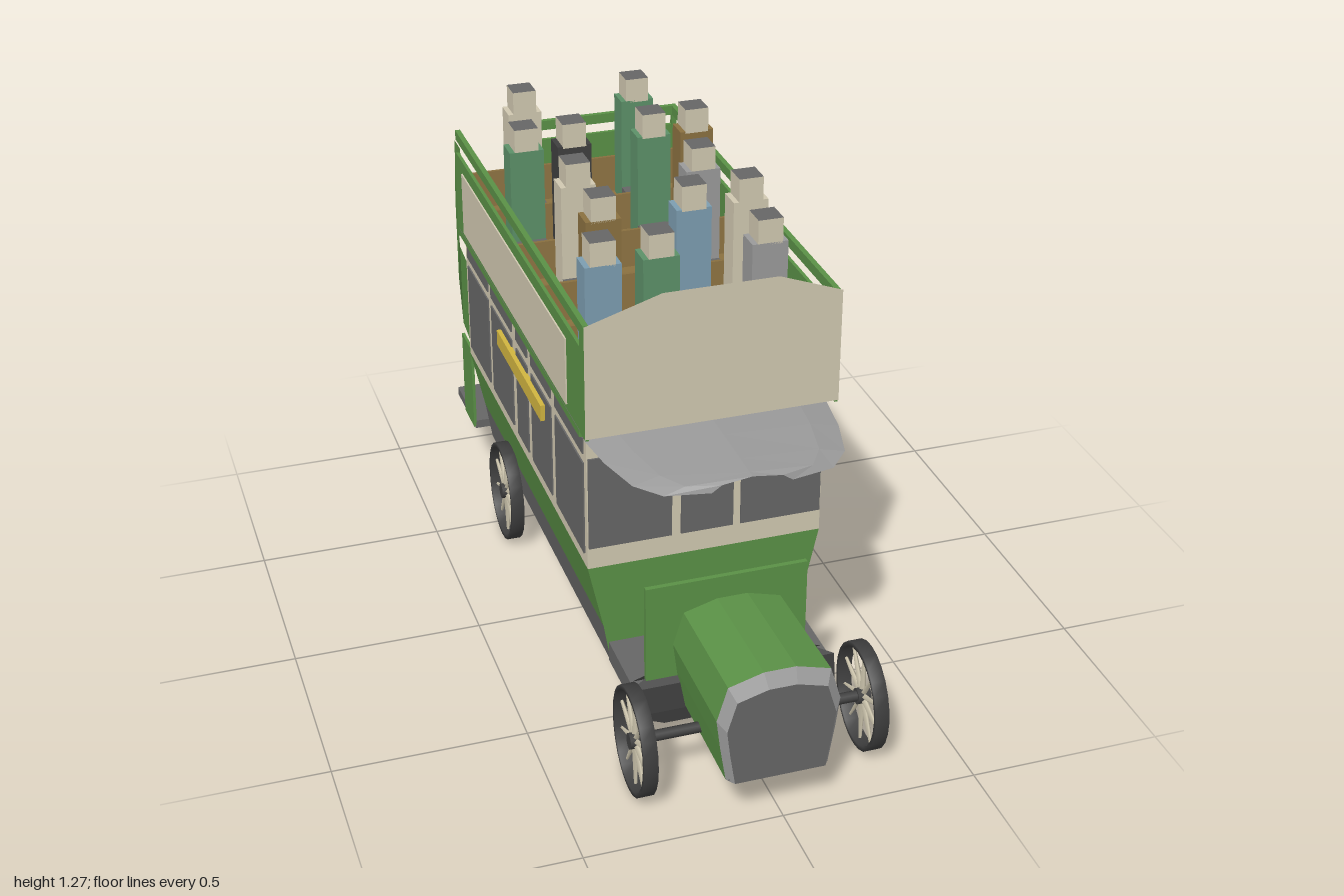
import * as THREE from 'three';

const paint = (name, color) => {
  const m = new THREE.MeshStandardMaterial({ color, side: THREE.DoubleSide });
  m.name = name;
  return m;
};

export function createModel() {
  const cream = paint('cream', 0xd0c8b0), green = paint('bus green', 0x5a9046), dark = paint('slate grey', 0x666666),
    light = paint('light grey', 0x9a9a9a), black = paint('tyre black', 0x3e3e3e), brown = paint('seat brown', 0x8a7040),
    yellow = paint('board yellow', 0xd0b440), red = paint('sign red', 0x98191e), blue = paint('coat blue', 0x7c9db0),
    sage = paint('coat green', 0x5c9068);

  const root = new THREE.Group();
  root.name = 'openTopBus';
  const bus = new THREE.Group();
  bus.name = 'bus';
  bus.position.x = -0.01;
  root.add(bus);

  const add = (name, geo, mat, parent = bus) => {
    const m = new THREE.Mesh(geo, mat);
    m.name = name;
    parent.add(m);
    return m;
  };
  // box given by its limits on each axis
  const box = (name, mat, [x0, x1], [y0, y1], [z0, z1], parent = bus) => {
    const m = add(name, new THREE.BoxGeometry(x1 - x0, y1 - y0, z1 - z0), mat, parent);
    m.position.set((x0 + x1) / 2, (y0 + y1) / 2, (z0 + z1) / 2);
    return m;
  };
  const faces = (name, mat, pos) => {
    const g = new THREE.BufferGeometry();
    g.setAttribute('position', new THREE.Float32BufferAttribute(pos.flat(), 3));
    g.computeVertexNormals();
    return add(name, g, mat);
  };
  // flat convex panel
  const panel = (name, mat, p) => {
    const out = [];
    for (let i = 1; i < p.length - 1; i++) out.push(p[0], p[i], p[i + 1]);
    return faces(name, mat, out);
  };
  // faceted skin between successive rows of points
  const sheet = (name, mat, rows) => {
    const out = [];
    for (let i = 0; i < rows.length - 1; i++)
      for (let j = 0; j < rows[i].length - 1; j++) {
        const a = rows[i][j], b = rows[i][j + 1], c = rows[i + 1][j + 1], d = rows[i + 1][j];
        out.push(a, b, c, a, c, d);
      }
    return faces(name, mat, out);
  };

  // Lower saloon: open-bottomed shell of sloping and upright bands
  const zF = 0.44, zB = -0.77;
  const bands = [['skirt', dark, 0.13, 0.25, 0.24, 0.268], ['lowerPanel', green, 0.24, 0.268, 0.42, 0.307],
    ['windowBand', cream, 0.42, 0.307, 0.81, 0.307]];
  for (const [name, mat, y0, w0, y1, w1] of bands) {
    for (const s of [-1, 1])
      sheet(name + 'Side', mat, [[[s * w0, y0, zF], [s * w0, y0, zB]], [[s * w1, y1, zF], [s * w1, y1, zB]]]);
    for (const z of [zF, zB])
      panel(name + 'End', name === 'skirt' ? green : mat, [[-w0, y0, z], [w0, y0, z], [w1, y1, z], [-w1, y1, z]]);
  }
  const sideWindows = [[0.17, 0.42], [-0.06, 0.13], [-0.21, -0.1], [-0.475, -0.255], [-0.74, -0.51]];
  for (const s of [-1, 1]) {
    const at = (a, b) => (s > 0 ? [a, b] : [-b, -a]);
    for (const z of sideWindows) {
      box('sideWindow', dark, at(0.307, 0.311), [0.455, 0.715], z);
      box('ventWindow', dark, at(0.307, 0.311), [0.74, 0.785], z);
    }
    box('sideBoard', yellow, at(0.308, 0.323), [0.65, 0.695], [-0.365, 0.08]);
  }
  for (const x of [[-0.304, -0.089], [-0.065, 0.072], [0.092, 0.304]])
    box('frontWindow', dark, x, [0.48, 0.735], [zF, zF + 0.005]);
  box('rearWindow', dark, [0.09, 0.295], [0.46, 0.745], [zB - 0.005, zB]);
  box('rearDoor', dark, [-0.09, 0.05], [0.19, 0.75], [zB - 0.006, zB]);

  // Upper deck
  box('deckFloor', [green, green, dark, cream, green, green], [-0.323, 0.323], [0.8, 0.82], [-0.775, zF]);
  for (const s of [-1, 1]) {
    const at = (a, b) => (s > 0 ? [a, b] : [-b, -a]);
    box('deckSide', green, at(0.313, 0.322), [0.815, 1.05], [-0.775, 0.49]);
    box('frontWing', green, at(0.313, 0.322), [1.05, 1.115], [0.45, 0.49]);
    box('sidePoster', cream, at(0.322, 0.326), [0.835, 1.015], [-0.705, 0.335]);
    box('sideRail', green, at(0.308, 0.322), [1.09, 1.117], [-0.775, 0.48]);
  }
  const front = [[-0.323, 0.82], [0.323, 0.82], [0.323, 1.12], [0.16, 1.18], [-0.13, 1.18], [-0.323, 1.12]];
  panel('deckFront', cream, front.map(([x, y]) => [x, y, 0.492]));
  box('deckRear', green, [-0.09, 0.322], [0.81, 1.06], [-0.778, -0.768]);
  box('rearSign', red, [-0.07, 0.3], [0.845, 1.03], [-0.783, -0.778]);
  box('rearRail', green, [-0.09, 0.322], [1.09, 1.117], [-0.778, -0.764]);
  for (const x of [-0.09, 0.308]) box('rearRailPost', green, [x, x + 0.014], [1.05, 1.09], [-0.778, -0.764]);

  // Seats and passengers, one row at a time
  const rows = [
    [0.275, 0.328, [[-0.235, blue], [-0.09, sage], [0.185, light]]],
    [0.04, 0.083, [[-0.16, brown], [0.075, blue], [0.225, cream]]],
    [-0.21, -0.137, [[-0.16, cream], [0.175, light]]],
    [-0.44, -0.395, [[-0.225, sage], [-0.095, black], [0.125, sage], [0.245, brown]]],
    [-0.70, -0.655, [[-0.16, cream], [0.16, sage]]],
  ];
  for (const [zSeat, z, people] of rows) {
    box('seatCushion', brown, [-0.298, 0.298], [0.88, 0.91], [zSeat, zSeat + 0.13]);
    box('seatBack', brown, [-0.298, 0.298], [0.82, 1.01], [zSeat - 0.008, zSeat + 0.004]).rotation.x = -0.1;
    for (const [x, coat] of people) {
      const p = new THREE.Group();
      p.name = 'passenger';
      p.position.set(x, 0, z);
      bus.add(p);
      box('coat', coat, [-0.046, 0.046], [0.9, 1.205], [-0.033, 0.033], p);
      box('head', [cream, cream, dark, cream, cream, cream], [-0.032, 0.032], [1.2, 1.267], [-0.033, 0.033], p);
      box('lap', dark, [-0.046, 0.046], [0.82, 0.95], [0.033, 0.112], p);
    }
  }

  // Canopy over the driver
  const canopy = [[0.44, 0.313], [0.56, 0.297], [0.68, 0.265], [0.745, 0.21], [0.766, 0.1]];
  sheet('canopy', light, canopy.map(([z, w]) =>
    [[-1, 0.79], [-0.75, 0.807], [0, 0.817], [0.75, 0.807], [1, 0.79]].map(([f, y]) => [f * w, y, z])));

  // Bonnet with bevelled radiator
  const hood = [[-0.13, 0.125], [-0.145, 0.22], [-0.155, 0.3], [-0.128, 0.39], [-0.04, 0.415],
    [0.04, 0.415], [0.128, 0.39], [0.155, 0.3], [0.145, 0.22], [0.13, 0.125]];
  const ring = (z, k) => hood.map(([x, y]) => [x * k, 0.125 + (y - 0.125) * k, z]);
  sheet('bonnet', green, [ring(0.64, 0.98), ring(0.975, 1)]);
  sheet('radiatorFrame', light, [ring(0.975, 1), ring(0.998, 0.88)]);
  panel('radiatorFace', dark, ring(0.998, 0.88));
  box('frontFrame', dark, [-0.125, 0.125], [0.126, 0.19], [0.64, 0.985]);
  box('dashboard', green, [-0.222, 0.195], [0.19, 0.47], [0.632, 0.645]);

  // Cab floor and footboard
  box('cabFloor', [dark, dark, dark, black, dark, dark], [-0.255, 0.255], [0.135, 0.19], [zF, 0.64]);
  const foot = [[0.19, 0.62, 0.25], [0.215, 0.63, 0.2], [0.19, 0.66, 0.27], [0.12, 0.67, 0.27], [0.08, 0.665, 0.18], [0.135, 0.57, 0.255]];
  sheet('footboard', black, foot.map(([y, z, w]) => [[-w, y, z], [w, y, z]]));

  // Rear platform and boarding steps
  box('platform', [dark, dark, dark, black, dark, dark], [-0.3, 0.245], [0.165, 0.19], [-0.99, zB]);
  box('upperStep', dark, [0.2, 0.285], [0.145, 0.18], [-0.97, -0.79]);
  box('lowerStep', dark, [0.235, 0.34], [0.11, 0.15], [-0.97, -0.795]);

  // Winding stair
  for (let i = 0; i < 7; i++) {
    const t = -THREE.MathUtils.degToRad(40 + i * 26);
    const step = add('stairTread', new THREE.BoxGeometry(0.15, 0.08, 0.09), dark);
    step.position.set(-0.11 + Math.cos(t) * 0.09, 0.25 + i * 0.075, -0.825 + Math.sin(t) * 0.09);
    step.rotation.y = -t;
  }
  // x, z, bottom and top of the curved stair guard
  const guard = [[-0.31, -0.775, 0.82, 1.06], [-0.31, -0.84, 0.76, 1.06], [-0.3, -0.91, 0.6, 0.85],
    [-0.28, -0.965, 0.42, 0.67], [-0.22, -0.99, 0.22, 0.5], [-0.13, -0.998, 0.19, 0.45], [-0.02, -0.998, 0.19, 0.45]];
  sheet('stairGuard', green, guard.map(([x, z, a, b]) => [[x, a, z], [x, b, z]]));
  box('platformSide', green, [-0.305, -0.297], [0.17, 0.43], [-0.88, zB]);

  // Slightly oval spoked wheels on plain axles
  const R = 0.144;
  const tyreProfile = [[R - 0.013, -0.018], [R, -0.018], [R, 0.018], [R - 0.013, 0.018], [R - 0.013, -0.018]]
    .map(([r, y]) => new THREE.Vector2(r, y));
  for (const z of [0.79, -0.43]) {
    const axle = add('axle', new THREE.CylinderGeometry(0.014, 0.014, 0.59, 8), black);
    axle.rotation.z = Math.PI / 2;
    axle.position.set(0, 0.147, z);
    for (const s of [-1, 1]) {
      const wheel = new THREE.Group();
      wheel.name = 'wheel';
      wheel.position.set(s * 0.295, 0.145, z);
      wheel.scale.z = 0.885;
      bus.add(wheel);
      add('tyre', new THREE.LatheGeometry(tyreProfile, 24), black, wheel).rotation.z = Math.PI / 2;
      add('hub', new THREE.CylinderGeometry(0.022, 0.022, 0.034, 10), black, wheel).rotation.z = Math.PI / 2;
      for (let i = 0; i < 10; i++) {
        const spoke = add('spoke', new THREE.CylinderGeometry(0.004, 0.009, 0.12, 4).translate(0, 0.075, 0), cream, wheel);
        spoke.rotation.x = (i / 10) * Math.PI * 2;
      }
    }
  }
  return root;
}
